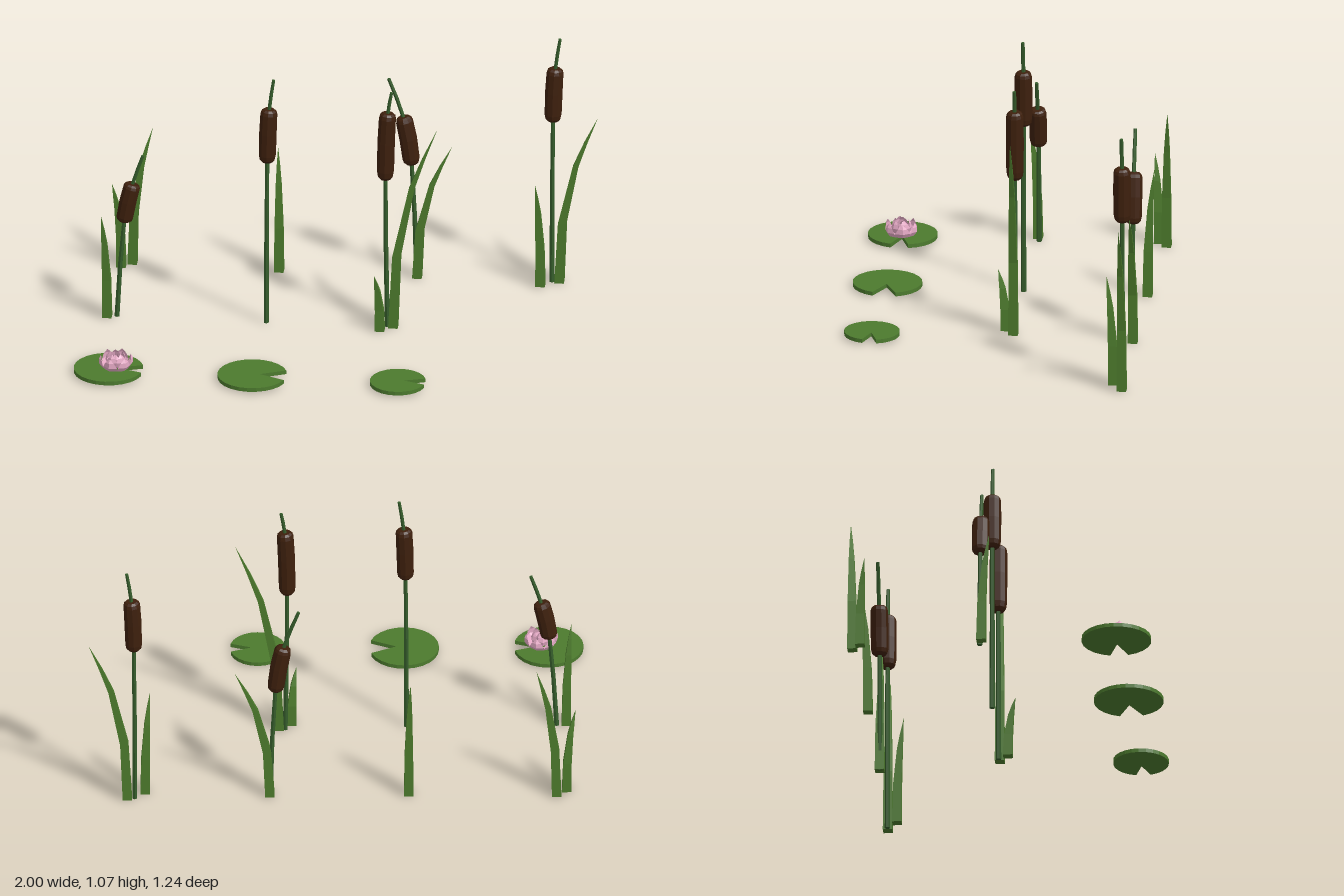
import * as THREE from 'three';

const material = (name, color, side = THREE.FrontSide) => {
  const m = new THREE.MeshStandardMaterial({ color, side });
  m.name = name;
  return m;
};

const leafGreen = material('leafGreen', 0x4c7a2c);
const padGreen = material('padGreen', 0x4c7a2e);
const stemGreen = material('stemGreen', 0x355c2b);
const seedBrown = material('seedBrown', 0x3e200d);
const petalPink = material('petalPink', 0xe8acc8, THREE.DoubleSide);

function part(name, geometry, mat) {
  const g = geometry.index ? geometry.toNonIndexed() : geometry;
  g.computeVertexNormals(); // faceted shading
  const mesh = new THREE.Mesh(g, mat);
  mesh.name = name;
  return mesh;
}

// Turned profile of [radius, t] pairs, bent to follow a curve
function bentLathe(curve, profile, sides, phase = 0, level = false) {
  const g = new THREE.LatheGeometry(profile.map(([r, t]) => new THREE.Vector2(r, t)), sides, phase);
  const pos = g.attributes.position;
  const v = new THREE.Vector3();
  for (let i = 0; i < pos.count; i++) {
    v.fromBufferAttribute(pos, i);
    const p = curve.getPoint(v.y);
    const d = level ? new THREE.Vector3(0, 1, 0) : curve.getTangent(v.y);
    const across = new THREE.Vector3(d.y, -d.x, 0).normalize();
    p.addScaledVector(across, v.x);
    p.z += v.z;
    pos.setXYZ(i, p.x, p.y, p.z);
  }
  return g;
}

// Cattail: axis points are base, head bottom, head top, tip
function cattail(axis, z) {
  const curve = new THREE.CatmullRomCurve3(axis.map(([x, y]) => new THREE.Vector3(x, y, z)));
  const group = new THREE.Group();
  group.name = 'cattail';
  const stem = [[0, 0], [0.011, 0], [0.01, 0.17], [0.009, 0.34], [0.008, 0.66], [0.008, 0.83], [0.007, 1], [0, 1]];
  const a = 1 / 3, b = 2 / 3;
  const head = [[0, a], [0.022, a], [0.031, a + 0.012], [0.035, a + 0.035], [0.036, 0.5],
    [0.035, b - 0.035], [0.031, b - 0.012], [0.022, b], [0, b]];
  group.add(
    part('stem', bentLathe(curve, stem, 6), stemGreen),
    part('seedHead', bentLathe(curve, head, 10), seedBrown)
  );
  return group;
}

// Square-based leaf blade that arches towards its pointed tip
function blade([x, z], [tipX, tipZ], height) {
  const knots = [[0, 0], [0.36, 0.08], [0.7, 0.42], [1, 1]];
  const curve = new THREE.CatmullRomCurve3(knots.map(([h, lean]) => new THREE.Vector3(
    x + (tipX - x) * lean, h * height, z + (tipZ - z) * lean)));
  const profile = [[0, 0], [0.027, 0], [0.024, 1 / 3], [0.016, 2 / 3], [0.0095, 0.83], [0, 1]];
  return part('leafBlade', bentLathe(curve, profile, 4, Math.PI / 4, true), leafGreen);
}

// Round floating pad with a wedge notch on the +x side
function lilyPad(x, z, r, notch) {
  const shape = new THREE.Shape();
  shape.moveTo(r * 0.22, 0);
  const steps = 22;
  for (let i = 0; i <= steps; i++) {
    const a = notch + (2 * Math.PI - 2 * notch) * i / steps;
    shape.lineTo(r * Math.cos(a), r * Math.sin(a));
  }
  shape.closePath();
  const g = new THREE.ExtrudeGeometry(shape, { depth: 0.016, bevelEnabled: false });
  g.rotateX(-Math.PI / 2).translate(x, 0.007, z);
  return part('lilyPad', g, padGreen);
}

// Cupped petal from cross-sections of [distance out, height, half width]
function petalGeometry(rows) {
  const pos = [], index = [];
  rows.forEach(([out, y, w]) => pos.push(out - w * 0.45, y, w, out, y, 0, out - w * 0.45, y, -w));
  for (let i = 0; i < rows.length - 1; i++) {
    for (let j = 0; j < 2; j++) {
      const a = i * 3 + j;
      index.push(a, a + 1, a + 4, a, a + 4, a + 3);
    }
  }
  const g = new THREE.BufferGeometry();
  g.setAttribute('position', new THREE.Float32BufferAttribute(pos, 3));
  g.setIndex(index);
  return g;
}

function waterLily(x, y, z) {
  const flower = new THREE.Group();
  flower.name = 'waterLily';
  const rings = [
    { count: 6, turn: 0.2, rows: [[0.015, 0, 0.01], [0.056, 0.008, 0.028], [0.069, 0.026, 0.03], [0.068, 0.046, 0.019], [0.06, 0.062, 0.001]] },
    { count: 5, turn: 0.5, rows: [[0.01, 0.004, 0.008], [0.036, 0.018, 0.024], [0.043, 0.038, 0.025], [0.038, 0.056, 0.015], [0.028, 0.07, 0.001]] },
    { count: 3, turn: 0.8, rows: [[0.004, 0.01, 0.004], [0.018, 0.028, 0.016], [0.018, 0.044, 0.013], [0.008, 0.06, 0.001]] }
  ];
  for (const { count, turn, rows } of rings) {
    for (let i = 0; i < count; i++) {
      const petal = part('petal', petalGeometry(rows), petalPink);
      petal.rotation.y = turn + i * 2 * Math.PI / count;
      flower.add(petal);
    }
  }
  flower.position.set(x, y, z);
  return flower;
}

export function createModel() {
  const model = new THREE.Group();
  model.name = 'pondPlants';

  // Cattails
  model.add(
    cattail([[-0.283, 0], [-0.279, 0.71], [-0.271, 0.94], [-0.253, 1.07]], -0.072),
    cattail([[0.204, 0], [0.196, 0.65], [0.206, 0.94], [0.221, 1.03]], -0.088),
    cattail([[0.814, 0], [0.818, 0.71], [0.828, 0.94], [0.847, 1.07]], -0.587),
    cattail([[-0.885, 0], [-0.856, 0.42], [-0.822, 0.585], [-0.781, 0.71]], -0.071),
    cattail([[0.27, 0], [0.25, 0.5], [0.216, 0.705], [0.157, 0.87]], -0.57)
  );

  // Leaf blades: base, tip, height
  const blades = [
    [[0.228, -0.085], [0.405, -0.09], 0.875],
    [[0.178, -0.048], [0.158, -0.016], 0.25],
    [[0.844, -0.588], [1.0, -0.59], 0.73],
    [[0.772, -0.545], [0.753, -0.516], 0.455],
    [[0.272, -0.572], [0.413, -0.572], 0.58],
    [[-0.924, -0.062], [-0.946, -0.028], 0.46],
    [[-0.878, -0.585], [-0.797, -0.597], 0.595],
    [[-0.919, -0.55], [-0.955, -0.53], 0.37],
    [[-0.285, -0.572], [-0.292, -0.598], 0.535]
  ];
  blades.forEach((b) => model.add(blade(...b)));

  // Lily pads and flower
  model.add(
    lilyPad(-0.86, 0.477, 0.14, 0.26),
    lilyPad(-0.28, 0.477, 0.14, 0.34),
    lilyPad(0.307, 0.477, 0.112, 0.26),
    waterLily(-0.83, 0.022, 0.48)
  );
  return model;
}
